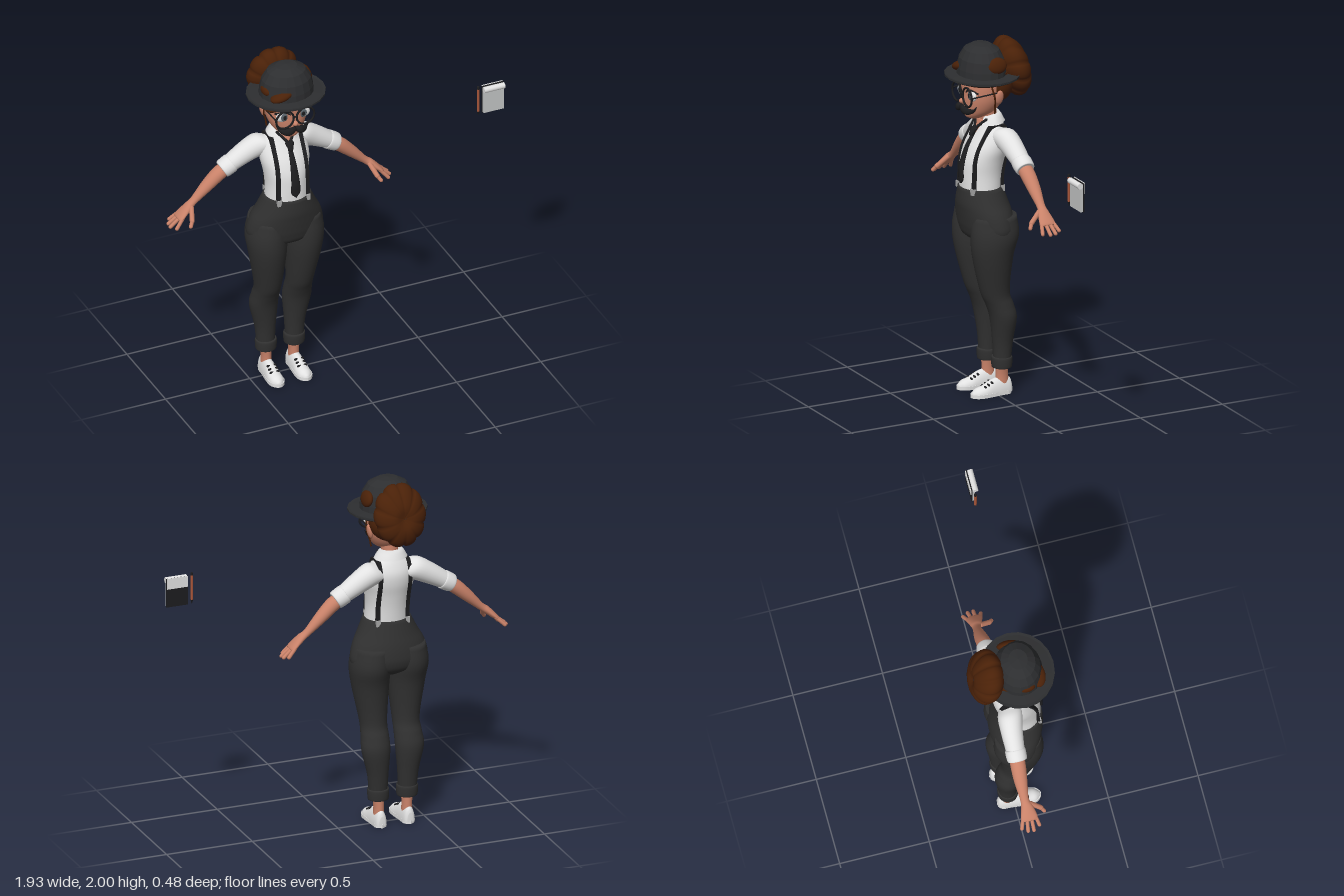
import * as THREE from 'three';

const V = (x, y, z) => new THREE.Vector3(x, y, z);
const X = V(1, 0, 0), Y = V(0, 1, 0), Z = V(0, 0, 1);
const paint = (name, color) => {
  const m = new THREE.MeshStandardMaterial({ color });
  m.name = name;
  return m;
};

// Smoothly interpolated rings [x, y, z, radiusU, radiusV]
function smoothRings(rings, n) {
  const c = new THREE.CatmullRomCurve3(rings.map(r => V(r[0], r[1], r[2])), false, 'catmullrom');
  const q = new THREE.CatmullRomCurve3(rings.map(r => V(r[3], r[4], 0)), false, 'catmullrom');
  return Array.from({ length: n + 1 }, (_, i) => {
    const p = c.getPoint(i / n), r = q.getPoint(i / n);
    return [p.x, p.y, p.z, Math.max(r.x, 0.001), Math.max(r.y, 0.001)];
  });
}

// Closed skin over elliptical rings spanned by the axes u and v
function loft(rings, u, v, seg = 24, n = rings.length * 4) {
  const R = smoothRings(rings, n), pos = [], idx = [];
  const first = V(...R[0].slice(0, 3)), last = V(...R[n].slice(0, 3));
  const flip = u.clone().cross(v).dot(last.clone().sub(first)) < 0 ? -1 : 1;
  for (const [x, y, z, a, b] of R) for (let j = 0; j < seg; j++) {
    const t = j / seg * Math.PI * 2;
    const p = V(x, y, z).addScaledVector(u, a * Math.cos(t)).addScaledVector(v, flip * b * Math.sin(t));
    pos.push(p.x, p.y, p.z);
  }
  pos.push(...first.toArray(), ...last.toArray());
  const c0 = (n + 1) * seg, c1 = c0 + 1;
  for (let j = 0; j < seg; j++) {
    const k = (j + 1) % seg;
    for (let i = 0; i < n; i++) {
      const a = i * seg + j, b = i * seg + k;
      idx.push(a, b, b + seg, a, b + seg, a + seg);
    }
    idx.push(c0, k, j, c1, n * seg + j, n * seg + k);
  }
  const g = new THREE.BufferGeometry();
  g.setAttribute('position', new THREE.Float32BufferAttribute(pos, 3));
  g.setIndex(idx);
  g.computeVertexNormals();
  return g;
}

// Rounded rod between two points
function rod(a, b, r) {
  const d = b.clone().sub(a), g = new THREE.CapsuleGeometry(r, d.length(), 4, 10);
  g.applyQuaternion(new THREE.Quaternion().setFromUnitVectors(Y, d.clone().normalize()));
  const m = a.clone().add(b).multiplyScalar(0.5);
  return g.translate(m.x, m.y, m.z);
}
const blob = (x, y, z, a, b, c, tilt = 0) =>
  new THREE.SphereGeometry(1, 24, 16).scale(a, b, c).rotateZ(tilt).translate(x, y, z);
const box = (w, h, d, x, y, z) => new THREE.BoxGeometry(w, h, d).translate(x, y, z);

export function createModel() {
  const skin = paint('skin', 0xc98269), white = paint('white cloth', 0xe2e2e2), dark = paint('charcoal cloth', 0x303030);
  const black = paint('black', 0x1d1d1f), hair = paint('brown hair', 0x4a2108), iris = paint('iris grey', 0x59636a);
  const paper = paint('paper grey', 0xc4c6c6), wood = paint('pencil wood', 0xa8563a), metal = paint('clip grey', 0xa9a9a9);
  const felt = paint('hat felt', 0x2d2e30);
  felt.flatShading = true;
  white.side = THREE.DoubleSide;
  const model = new THREE.Group(), figure = new THREE.Group();
  figure.name = 'figure';
  figure.position.x = -0.305;
  model.add(figure);
  const add = (name, geo, mat, parent = figure) => {
    const m = new THREE.Mesh(geo, mat);
    m.name = name;
    parent.add(m);
    return m;
  };

  // Shirt, and its surface depth for anything worn over it
  const torso = [[0, 1.15, .055, .125, .112], [0, 1.25, .05, .12, .116], [0, 1.33, .04, .128, .119], [0, 1.4, .02, .14, .114],
    [0, 1.46, .002, .137, .098], [0, 1.51, -.003, .112, .076], [0, 1.555, 0, .06, .055]];
  add('shirt', loft(torso, X, Z, 36), white);
  const table = smoothRings(torso, 200);
  const shirtZ = (x, y, s = 1) => {
    const r = table.reduce((a, b) => Math.abs(b[1] - y) < Math.abs(a[1] - y) ? b : a);
    return r[2] + s * r[4] * Math.sqrt(Math.max(0, 1 - (x / r[3]) ** 2));
  };

  // Trousers
  add('hips', loft([[0, .86, .02, .1, .05], [0, .9, .022, .195, .115], [0, .95, .022, .22, .135], [0, 1.0, .027, .214, .139],
    [0, 1.05, .035, .196, .138], [0, 1.1, .045, .168, .133], [0, 1.18, .055, .129, .118]], X, Z, 40), dark);

  for (const s of [-1, 1]) {
    const side = s > 0 ? 'left' : 'right';
    add(side + 'TrouserLeg', loft([[s * .085, .16, -.033, .05, .046], [s * .088, .3, -.036, .059, .056], [s * .098, .44, -.034, .08, .073],
      [s * .096, .52, -.012, .077, .077], [s * .095, .6, .016, .076, .083], [s * .105, .8, .033, .102, .115],
      [s * .109, .92, .022, .112, .136], [s * .1, 1.03, .02, .1, .125]], X, Z, 28), dark);
    add(side + 'TrouserCuff', loft([[s * .084, .153, -.033, .05, .048], [s * .084, .158, -.033, .058, .055],
      [s * .084, .208, -.033, .06, .057], [s * .084, .216, -.033, .05, .048]], X, Z, 28), dark);
    add(side + 'Ankle', loft([[s * .082, .05, -.035, .03, .038], [s * .082, .11, -.035, .028, .036], [s * .084, .17, -.033, .033, .036]], X, Z), skin);

    // Shoes
    const upper = loft([[0, .012, -.09, .018, .05], [0, .012, -.075, .031, .08], [0, .012, -.03, .037, .088], [0, .012, .03, .04, .074],
      [0, .012, .08, .043, .048], [0, .012, .12, .037, .036], [0, .012, .148, .012, .014]], X, Y);
    const p = upper.attributes.position;
    for (let i = 0; i < p.count; i++) p.setY(i, Math.max(.012, p.getY(i)));
    upper.computeVertexNormals();
    const shoe = new THREE.Group();
    shoe.name = side + 'Shoe';
    shoe.position.x = s * .082;
    figure.add(shoe);
    add('shoeUpper', upper, white, shoe);
    const outline = new THREE.Shape(new THREE.SplineCurve([[0, .093], [.032, .07], [.036, .02], [.045, -.08], [.035, -.13], [0, -.153],
      [-.035, -.13], [-.045, -.08], [-.036, .02], [-.032, .07], [0, .093]].map(a => new THREE.Vector2(...a))).getPoints(40));
    add('shoeSole', new THREE.ExtrudeGeometry(outline, { depth: .02, bevelEnabled: false }).rotateX(-Math.PI / 2), white, shoe);
    for (const [z, y] of [[.035, .084], [.055, .074], [.075, .064]])
      add('lace', rod(V(-.022, y - .01, z), V(.022, y - .01, z), .007), black, shoe);

    // Sleeve, arm and hand
    const up = V(s * .66, .75, 0);
    add(side + 'Sleeve', loft([[s * .06, 1.465, -.015, .06, .06], [s * .12, 1.467, -.03, .068, .066], [s * .2, 1.43, -.04, .06, .06],
      [s * .315, 1.362, -.045, .049, .046]], Z, V(s * .5, .866, 0)), white);
    add(side + 'SleeveCuff', loft([[s * .283, 1.38, -.045, .045, .042], [s * .288, 1.377, -.045, .056, .053], [s * .335, 1.35, -.045, .054, .05],
      [s * .34, 1.347, -.045, .04, .038]], Z, V(s * .5, .866, 0)), white);
    add(side + 'Forearm', loft([[s * .3, 1.365, -.045, .04, .038], [s * .36, 1.325, -.047, .042, .04], [s * .43, 1.262, -.05, .036, .033],
      [s * .505, 1.19, -.05, .024, .021], [s * .54, 1.163, -.046, .032, .021], [s * .59, 1.118, -.045, .046, .015],
      [s * .605, 1.106, -.045, .038, .009]], Z, up), skin);
    for (const [z, tx, ty, tz] of [[-.012, .628, 1.07, .002], [-.034, .65, 1.068, -.034], [-.057, .648, 1.07, -.066], [-.078, .63, 1.078, -.096]])
      add(side + 'Finger', rod(V(s * .585, 1.12, z), V(s * tx, ty, tz), .0105), skin);
    add(side + 'Thumb', rod(V(s * .53, 1.165, -.025), V(s * .55, 1.115, .03), .014), skin);
    add(side + 'ThumbTip', rod(V(s * .55, 1.115, .03), V(s * .565, 1.092, .045), .011), skin);

    // Braces: a band running from front waist over the shoulder to back waist
    const band = [], steps = 24;
    for (const f of [1, -1]) for (let i = 0; i <= steps; i++) {
      const t = f > 0 ? i / steps : 1 - i / steps, y = 1.175 + t * .345;
      band.push([shirtZ(.083, y, f), y, f * .01 * (1 - t * .6), t ** 8 * .012]);
    }
    const path = [...band.map(b => [-b[0] - b[2], b[1] + b[3]]), ...band.map(b => [-b[0] + b[2], b[1] - b[3]]).reverse()];
    add(side + 'Brace', new THREE.ExtrudeGeometry(new THREE.Shape(path.map(a => new THREE.Vector2(...a))),
      { depth: .022, bevelEnabled: false }).rotateY(Math.PI / 2).translate(s * .085 - .011, 0, 0), black);
    for (const f of [1, -1])
      add('braceClip', box(.024, .035, .022, s * .085, 1.172, shirtZ(.083, 1.175, f) + f * .005), metal);

    // Face details
    add(side + 'Ear', blob(s * .12, 1.7, .0, .014, .042, .024, -s * .2), skin);
    add(side + 'EyeWhite', blob(s * .06, 1.713, .134, .041, .031, .016), white);
    add(side + 'Iris', blob(s * .056, 1.714, .147, .021, .024, .006), iris);
    add(side + 'Pupil', blob(s * .055, 1.714, .151, .011, .013, .004), black);
    add(side + 'Lashes', new THREE.TubeGeometry(new THREE.CatmullRomCurve3([V(s * .02, 1.725, .151), V(s * .055, 1.745, .148),
      V(s * .1, 1.728, .115)]), 12, .005, 6), black);
    add(side + 'LensRim', new THREE.TorusGeometry(.052, .006, 8, 32).translate(s * .061, 1.708, .165), black);
    add(side + 'GlassesArm', rod(V(s * .113, 1.715, .162), V(s * .126, 1.73, 0), .004), black);
    add(side + 'Moustache', loft([[0, 1.64, .166, .014, .014], [s * .03, 1.632, .172, .023, .015], [s * .06, 1.625, .158, .018, .014],
      [s * .082, 1.632, .138, .01, .01], [s * .096, 1.655, .128, .003, .003]], Y, Z, 14), black);
    add(side + 'HairStrand', new THREE.TubeGeometry(new THREE.CatmullRomCurve3([V(s * .118, 1.78, .05), V(s * .126, 1.7, .03),
      V(s * .112, 1.65, .022), V(s * .104, 1.605, .02)]), 16, .005, 6), hair);

    // Loosened tie loop
    add('tieLoop', rod(V(s * .053, 1.56, .045), V(0, 1.5, .092), .008), black);
  }

  // Neck, head, nose and glasses bridge
  add('neck', loft([[0, 1.5, .0, .05, .05], [0, 1.56, .008, .046, .05], [0, 1.64, .02, .05, .055]], X, Z), skin);
  add('head', loft([[0, 1.565, .092, .02, .02], [0, 1.578, .085, .047, .055], [0, 1.61, .06, .083, .09], [0, 1.66, .045, .108, .111],
    [0, 1.71, .04, .118, .116], [0, 1.78, .035, .12, .12], [0, 1.86, .03, .105, .105]], X, Z, 36), skin);
  add('nose', blob(0, 1.672, .162, .017, .015, .02), skin);
  add('glassesBridge', rod(V(-.01, 1.715, .167), V(.01, 1.715, .167), .005), black);

  // Open neckline, collar and tie
  add('neckline', loft([1.47, 1.5, 1.53, 1.555].map((y, i) => [0, y, shirtZ(0, y) - .002, .004 + i * .012, .008]), X, Z, 16), skin);
  const collar = new THREE.LatheGeometry([[.052, 1.57], [.06, 1.592], [.078, 1.57], [.094, 1.54]].map(a => new THREE.Vector2(...a)),
    36, .5, Math.PI * 2 - 1);
  const cp = collar.attributes.position;
  for (let i = 0; i < cp.count; i++) cp.setY(i, cp.getY(i) - Math.max(0, cp.getZ(i)) * .35);
  collar.scale(1, 1, .88);
  collar.computeVertexNormals();
  add('collar', collar, white);
  add('tieKnot', loft([[0, 1.468, .108, .012, .012], [0, 1.48, .104, .016, .016], [0, 1.505, .09, .025, .016], [0, 1.512, .086, .02, .01]], X, Z, 16), black);
  add('tieBlade', loft([[1.205, .002], [1.235, .027], [1.3, .025], [1.4, .018], [1.48, .012]].map(([y, w]) =>
    [0, y, shirtZ(0, y) + .005, w, .009]), X, Z, 12, 24), black);

  // Hair under the hat, with a swept fringe
  add('backHair', blob(0, 1.755, -.022, .129, .115, .108), hair);
  add('hairBand', loft([[0, 1.762, .033, .119, .119], [0, 1.775, .033, .132, .132], [0, 1.83, .033, .134, .132]], X, Z, 32), hair);
  add('fringe', blob(-.082, 1.772, .1, .065, .024, .05, .25), hair);

  // Lobed bun
  const bun = new THREE.SphereGeometry(1, 80, 28).rotateX(Math.PI / 2), bp = bun.attributes.position;
  for (let i = 0; i < bp.count; i++) {
    const x = bp.getX(i), y = bp.getY(i), z = bp.getZ(i), r = Math.hypot(x, y);
    const f = .91 + .09 * Math.sqrt(Math.abs(Math.cos(5 * Math.atan2(y, x))));
    const dimple = z < 0 ? .25 * Math.exp(-r * r * 14) : 0;
    bp.setXYZ(i, x * f * .148, 1.828 + y * f * .172, -.135 + z * (1 - dimple) * (.8 + .2 * f) * .092 + y * .035);
  }
  bun.computeVertexNormals();
  add('hairBun', bun, hair);

  // Bowler hat with locks showing through
  const lathe = (pts, n) => new THREE.LatheGeometry(pts.map(a => new THREE.Vector2(...a)), n);
  add('hatCrown', lathe([[.155, 1.8], [.151, 1.85], [.138, 1.905], [.108, 1.953], [.06, 1.979], [0, 1.985]], 18)
    .scale(1, 1, .86).translate(0, 0, .047), felt);
  add('hatBrim', lathe([[.13, 1.795], [.205, 1.795], [.22, 1.803], [.22, 1.813], [.205, 1.811], [.15, 1.816], [.13, 1.816]], 20)
    .scale(1, 1, .92).translate(0, 0, .042), felt);
  add('frontLock', blob(-.065, 1.85, .136, .07, .028, .045, .3), hair);
  add('sideLock', blob(.128, 1.885, .02, .025, .045, .06, .3), hair);
  add('rightLock', blob(-.126, 1.86, .06, .025, .03, .05, -.2), hair);

  // Floating notepad and pencil
  const pad = new THREE.Group();
  pad.name = 'notepad';
  model.add(pad);
  add('pages', box(.121, .155, .014, .902, 1.48, .1), paper, pad);
  add('cover', box(.126, .165, .006, .902, 1.482, .089), black, pad);
  add('turnedPageRoll', new THREE.CylinderGeometry(.017, .017, .122, 20).rotateZ(Math.PI / 2).translate(.902, 1.55, .108), white, pad);
  add('turnedPageBack', box(.122, .062, .004, .902, 1.536, .083), white, pad);
  const pencil = new THREE.Group();
  pencil.name = 'pencil';
  model.add(pencil);
  add('pencilShaft', new THREE.CylinderGeometry(.008, .008, .14, 8).translate(.812, 1.49, .1), wood, pencil);
  add('pencilTip', new THREE.CylinderGeometry(.008, .001, .025, 8).translate(.812, 1.4075, .1), black, pencil);
  add('pencilEnd', new THREE.CylinderGeometry(.008, .008, .015, 8).translate(.812, 1.5675, .1), black, pencil);
  return model;
}
